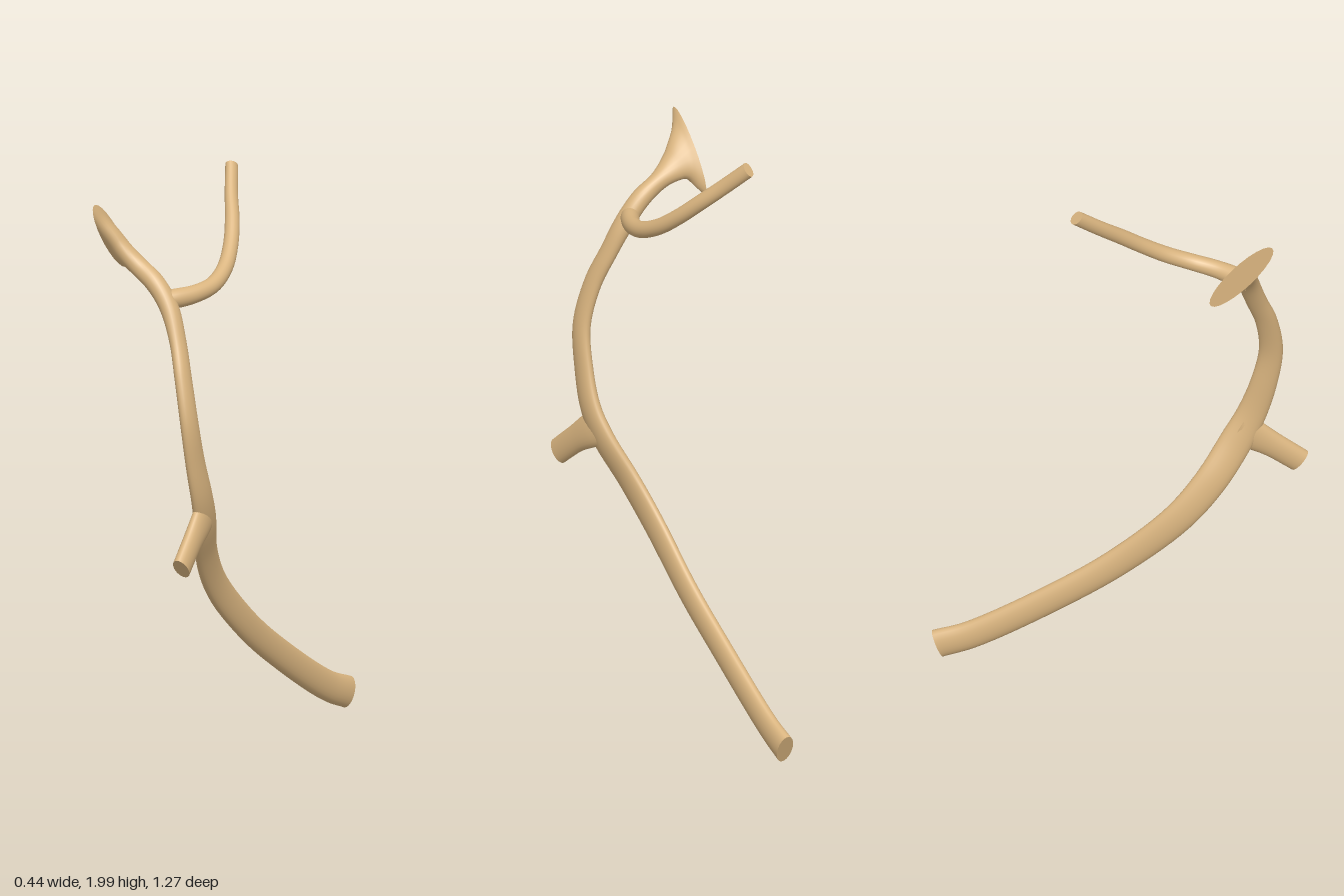
import * as THREE from 'three';
import { mergeGeometries } from 'three/addons/utils/BufferGeometryUtils.js';

const SIDES = 24;

// Sweeps an elliptical section along a smooth path.
// Each key: [x, y, z, wide radius, thin radius, angle of the wide axis in the yz plane]
function limb(keys, steps, endDir) {
  const path = new THREE.CatmullRomCurve3(keys.map(k => new THREE.Vector3(k[0], k[1], k[2])));
  const section = new THREE.CatmullRomCurve3(
    keys.map(k => new THREE.Vector3(k[3], k[4], k[5])), false, 'catmullrom', 0.5);
  const pos = [], index = [], centres = [];
  for (let i = 0; i <= steps; i++) {
    const t = i / steps;
    const c = path.getPoint(t), s = section.getPoint(t), T = path.getTangent(t);
    if (endDir) T.lerp(endDir, THREE.MathUtils.smoothstep(t, 0.82, 0.97)).normalize();
    const W = new THREE.Vector3(0, Math.sin(s.z), Math.cos(s.z));
    W.addScaledVector(T, -W.dot(T)).normalize();
    const B = new THREE.Vector3().crossVectors(T, W);
    centres.push(c);
    for (let j = 0; j < SIDES; j++) {
      const a = j / SIDES * Math.PI * 2;
      const p = c.clone().addScaledVector(W, Math.cos(a) * s.x).addScaledVector(B, Math.sin(a) * s.y);
      pos.push(p.x, p.y, p.z);
      if (i < steps) {
        const k = (j + 1) % SIDES, r = i * SIDES, n = r + SIDES;
        index.push(r + j, r + k, n + j, r + k, n + k, n + j);
      }
    }
  }
  const side = makeGeometry(pos, index);

  // flat sawn ends with their own vertices, so the rims stay sharp
  const cap = (ring, flip) => {
    const from = ring * SIDES * 3;
    const p = [...pos.slice(from, from + SIDES * 3), ...centres[ring].toArray()], f = [];
    for (let j = 0; j < SIDES; j++) {
      const k = (j + 1) % SIDES;
      f.push(SIDES, flip ? k : j, flip ? j : k);
    }
    return makeGeometry(p, f);
  };
  return mergeGeometries([side, cap(0, true), cap(steps, false)]);
}

function makeGeometry(pos, index) {
  const g = new THREE.BufferGeometry();
  g.setAttribute('position', new THREE.Float32BufferAttribute(pos, 3));
  g.setIndex(index);
  g.computeVertexNormals();
  return g;
}

export function createModel() {
  const group = new THREE.Group();
  group.name = 'branch';
  const wood = new THREE.MeshStandardMaterial({ color: 0xd9b47f });
  wood.name = 'pale wood';
  const add = (name, geometry) => {
    const mesh = new THREE.Mesh(geometry, wood);
    mesh.name = name;
    group.add(mesh);
  };

  // curved stem, ending in a flared flat mounting foot
  add('mainStem', limb([
    [0.055, 0.055, -0.615, 0.055, 0.03, -1.3],
    [0.05, 0.1, -0.5, 0.053, 0.028, -1.2],
    [0.047, 0.28, -0.2, 0.052, 0.027, -1.0],
    [0.052, 0.42, 0, 0.053, 0.026, -0.95],
    [0.063, 0.6, 0.2, 0.056, 0.025, -0.8],
    [0.095, 0.735, 0.31, 0.058, 0.026, -0.6],
    [0.145, 0.87, 0.395, 0.058, 0.028, -0.5],
    [0.165, 0.97, 0.445, 0.052, 0.027, -0.4],
    [0.166, 1.1, 0.487, 0.046, 0.025, -0.2],
    [0.158, 1.25, 0.513, 0.041, 0.025, 0],
    [0.123, 1.4, 0.498, 0.038, 0.025, 0.15],
    [0.082, 1.51, 0.467, 0.036, 0.026, 0.25],
    [0.03, 1.62, 0.443, 0.036, 0.032, 0.3],
    [-0.03, 1.695, 0.437, 0.034, 0.034, 0.4],
    [-0.1, 1.745, 0.435, 0.033, 0.033, 0.6],
    [-0.165, 1.79, 0.433, 0.058, 0.035, 0.85],
    [-0.195, 1.815, 0.43, 0.1, 0.038, 0.88],
    [-0.22, 1.833, 0.427, 0.163, 0.042, 0.88],
  ], 110, new THREE.Vector3(-1, 0, 0)));

  // slender twig that swings out and rises to the back
  add('upperTwig', limb([
    [0.005, 1.645, 0.445, 0.03, 0.032, 1.3],
    [0.035, 1.645, 0.4, 0.034, 0.032, 1.3],
    [0.068, 1.652, 0.33, 0.031, 0.029, 1.3],
    [0.082, 1.668, 0.25, 0.029, 0.028, 1.2],
    [0.07, 1.707, 0.16, 0.028, 0.027, 1.1],
    [0.04, 1.765, 0.08, 0.027, 0.026, 1.0],
    [0, 1.83, 0.01, 0.027, 0.025, 0.9],
    [-0.05, 1.9, -0.06, 0.027, 0.022, 0.8],
    [-0.1, 1.978, -0.138, 0.027, 0.021, 0.8],
  ], 50));

  // short sawn-off stub on the front
  add('lowerStub', limb([
    [0.15, 0.92, 0.395, 0.07, 0.022, 1.2],
    [0.163, 0.885, 0.45, 0.06, 0.026, 1.1],
    [0.175, 0.835, 0.52, 0.048, 0.027, 1.1],
    [0.19, 0.762, 0.61, 0.045, 0.027, 1.1],
  ], 24));

  return group;
}
